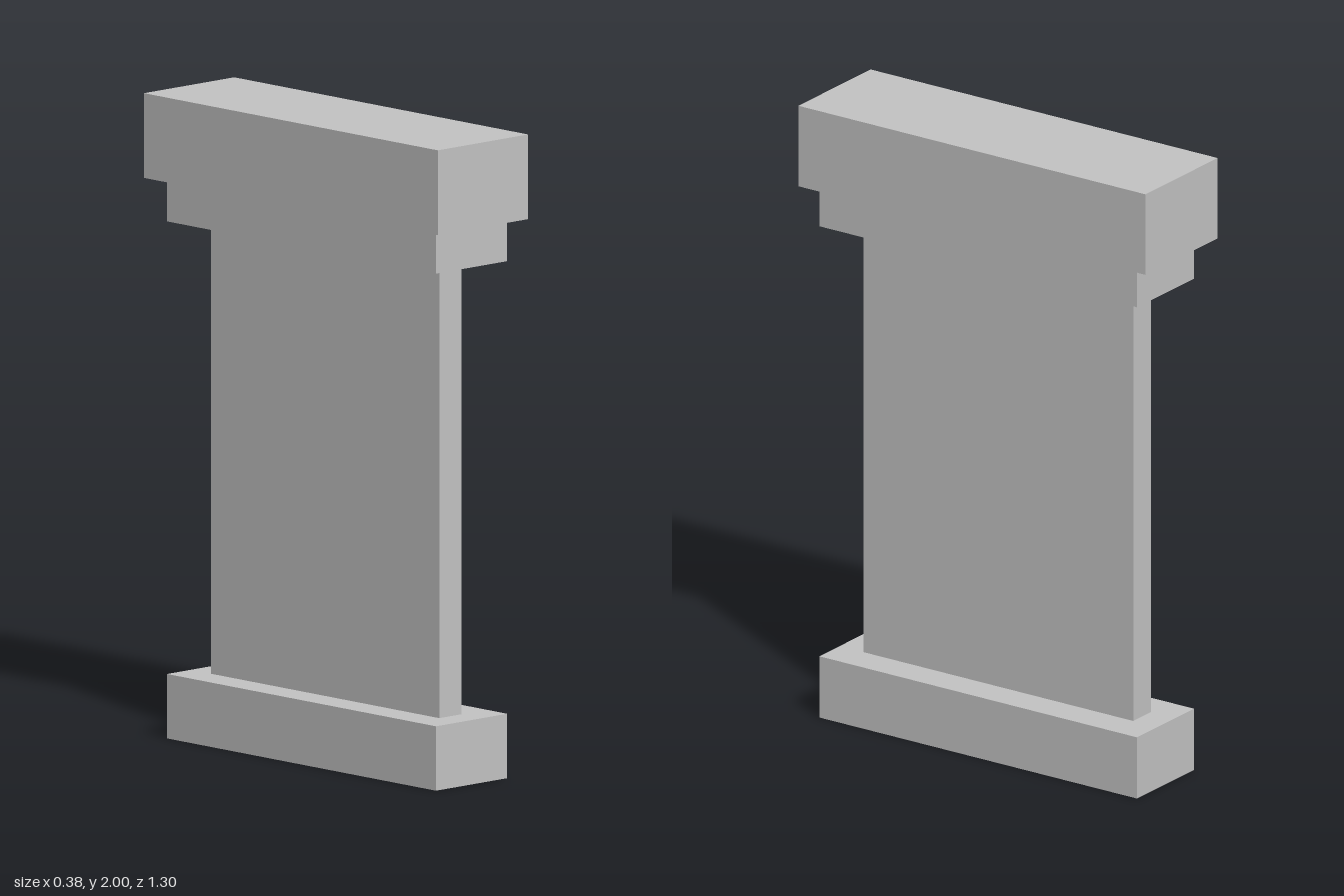
import * as THREE from 'three';

const stone = new THREE.MeshStandardMaterial({ color: 0xc4c4c4, side: THREE.DoubleSide });
stone.name = 'grey stone';

// Rectangular cross-sections: x range and z range
const FOOT = [-0.15, 0.15, -0.59, 0.6];
const WALL = [-0.05, 0.043, -0.5, 0.51];
const CAP = [-0.19, 0.19, -0.65, 0.65];

const ring = ([x0, x1, z0, z1], y) => [[x1, y, z1], [x1, y, z0], [x0, y, z0], [x0, y, z1]];

// Hollow shell through stacked rectangles, with crisp edges and an optional lid
function shell(name, levels, lid = false) {
  const rings = levels.map(([rect, y]) => ring(rect, y));
  const positions = [];
  const quad = (a, b, c, d) => [a, b, c, a, c, d].forEach((p) => positions.push(...p));
  for (let k = 0; k < rings.length - 1; k++) {
    for (let i = 0; i < 4; i++) {
      const j = (i + 1) % 4;
      quad(rings[k][i], rings[k][j], rings[k + 1][j], rings[k + 1][i]);
    }
  }
  if (lid) quad(...rings[rings.length - 1]);
  const geometry = new THREE.BufferGeometry();
  geometry.setAttribute('position', new THREE.Float32BufferAttribute(positions, 3));
  geometry.computeVertexNormals();
  const mesh = new THREE.Mesh(geometry, stone);
  mesh.name = name;
  return mesh;
}

export function createModel() {
  const model = new THREE.Group();
  model.name = 'wallPier';
  model.add(
    // open-bottomed foot with a ledge around the wall
    shell('foot', [[FOOT, 0], [FOOT, 0.2], [WALL, 0.2]]),
    // thin upright slab
    shell('wall', [[WALL, 0.2], [WALL, 1.605]]),
    // stepped moulding below the cap
    shell('neck', [[WALL, 1.605], [FOOT, 1.605], [FOOT, 1.737]]),
    // overhanging top block
    shell('cap', [[FOOT, 1.737], [CAP, 1.737], [CAP, 2]], true),
  );
  return model;
}
